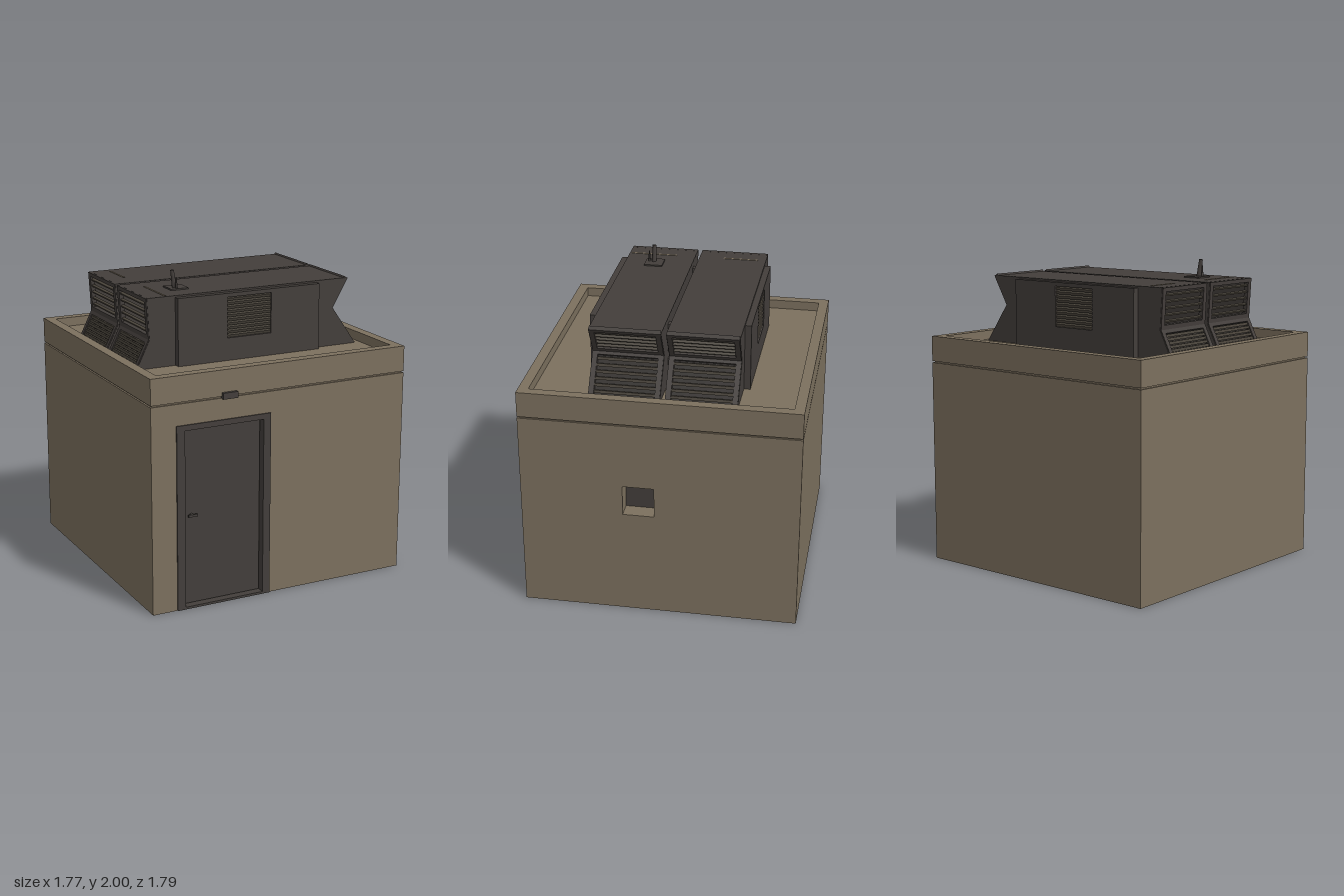
import * as THREE from 'three';

const material = (name, color) => Object.assign(new THREE.MeshStandardMaterial({ color }), { name });
const plaster = material('plaster', 0x7c705e);
const metal = material('dark metal', 0x433e3b);
const louvre = material('louvre metal', 0x4b453c);
const shadow = material('dark recess', 0x2e2a27);

function add(parent, name, geometry, mat) {
  const mesh = new THREE.Mesh(geometry, mat);
  mesh.name = name;
  parent.add(mesh);
  return mesh;
}

// Box given by its minimum and maximum along each axis
function box(parent, name, mat, [x0, x1], [y0, y1], [z0, z1]) {
  const mesh = add(parent, name, new THREE.BoxGeometry(x1 - x0, y1 - y0, z1 - z0), mat);
  mesh.position.set((x0 + x1) / 2, (y0 + y1) / 2, (z0 + z1) / 2);
  return mesh;
}

const rectPoints = (x0, x1, y0, y1) => [[x0, y0], [x1, y0], [x1, y1], [x0, y1]].map(p => new THREE.Vector2(...p));

// Rectangular slab with a rectangular opening
function holedSlab(outer, inner, depth) {
  const shape = new THREE.Shape(rectPoints(...outer));
  shape.holes.push(new THREE.Path(rectPoints(...inner).reverse()));
  return new THREE.ExtrudeGeometry(shape, { depth, bevelEnabled: false });
}

function buildHouse() {
  const house = new THREE.Group();
  house.name = 'building';
  const W = 0.885, top = 1.325;

  // Walls, with a door opening in front and a small window on one side
  const door = holedSlab([-W, W, 0, top], [-0.72, -0.08, 0.002, 1.19], 0.12);
  add(house, 'frontWall', door, plaster).position.z = W - 0.12;
  const side = holedSlab([-W + 0.12, W - 0.12, 0, top], [-0.23, -0.03, 0.7, 0.9], 0.12);
  side.rotateY(Math.PI / 2);
  add(house, 'windowWall', side, plaster).position.x = W - 0.12;
  box(house, 'blankWall', plaster, [-W, -W + 0.12], [0, top], [-W + 0.12, W - 0.12]);
  box(house, 'backWall', plaster, [-W, W], [0, top], [-W, -W + 0.12]);
  box(house, 'floor', plaster, [-W + 0.12, W - 0.12], [0, 0.03], [-W + 0.12, W - 0.12]);

  // Recessed joint, parapet and sunken roof
  const J = W - 0.012;
  box(house, 'roofSlab', plaster, [-J, J], [1.3, 1.34], [-J, J]);
  const R = W - 0.065;
  const rim = holedSlab([-W, W, -W, W], [-R, R, -R, R], 0.165);
  rim.rotateX(-Math.PI / 2);
  add(house, 'parapet', rim, plaster).position.y = 1.335;
  box(house, 'roof', plaster, [-R, R], [1.34, 1.44], [-R, R]);

  // Window pane at the back of its recess
  box(house, 'windowPane', metal, [W - 0.13, W - 0.11], [0.69, 0.91], [0.02, 0.24]);

  // Door in its frame
  const frame = holedSlab([-0.72, -0.08, 0, 1.19], [-0.665, -0.13, 0.015, 1.155], 0.08);
  add(house, 'doorFrame', frame, metal).position.z = W - 0.072;
  box(house, 'doorGap', shadow, [-0.69, -0.1], [0.005, 1.17], [W - 0.07, W - 0.045]);
  box(house, 'door', metal, [-0.657, -0.138], [0.022, 1.147], [W - 0.06, W - 0.038]);
  box(house, 'handleStem', metal, [-0.615, -0.6], [0.593, 0.608], [W - 0.04, W - 0.012]);
  box(house, 'doorHandle', metal, [-0.635, -0.575], [0.593, 0.608], [W - 0.02, W - 0.008]);

  // Lamp over the door
  box(house, 'doorLamp', metal, [-0.415, -0.315], [1.32, 1.36], [W - 0.01, W + 0.022]);
  return house;
}

// Framed louvre panel leaning along the end edge a-b; s is the end it faces
function endPanel(unit, a, b, s, slats, slatHeight, backed) {
  const panel = new THREE.Group();
  panel.name = 'endLouvre';
  const up = new THREE.Vector3(b[0] - a[0], b[1] - a[1], 0);
  const h = up.length();
  up.normalize();
  const out = new THREE.Vector3(up.y * s, -up.x * s, 0);
  const across = new THREE.Vector3().crossVectors(up, out);
  panel.quaternion.setFromRotationMatrix(new THREE.Matrix4().makeBasis(across, up, out));
  panel.position.set(a[0], a[1], 0);
  const frame = holedSlab([-0.222, 0.222, 0, h], [-0.19, 0.19, 0.03, h - 0.025], 0.03);
  add(panel, 'louvreFrame', frame, metal).position.z = -0.024;
  for (let i = 0; i < slats; i++) {
    const y = 0.03 + (h - 0.055) * (i + 0.5) / slats;
    const slat = box(panel, 'slat', louvre, [-0.192, 0.192], [y - slatHeight / 2, y + slatHeight / 2], [-0.018, 0]);
    slat.rotation.x = 0.3;
  }
  if (backed) box(panel, 'louvreBacking', shadow, [-0.2, 0.2], [0.01, h - 0.01], [-0.036, -0.028]);
  unit.add(panel);
}

// Hollow rooftop unit; s is the side its service cover faces along z
function buildUnit(name, centre, s) {
  const unit = new THREE.Group();
  unit.name = name;
  unit.position.z = centre;
  const left = [[-0.785, 1.44], [-0.695, 1.62], [-0.71, 1.88]];
  const right = [[0.775, 1.44], [0.6, 1.69], [0.71, 1.88]];

  // Side cheeks and top
  const outline = [...left, ...[...right].reverse()].reverse().map(p => new THREE.Vector2(...p));
  const cheek = new THREE.ExtrudeGeometry(new THREE.Shape(outline), { depth: 0.025, bevelEnabled: false });
  for (const z of [-0.225, 0.2]) add(unit, 'sideCheek', cheek, metal).position.z = z;
  box(unit, 'topPlate', metal, [-0.705, 0.705], [1.862, 1.881], [-0.224, 0.224]);
  box(unit, 'topSlit', plaster, [-0.586, -0.574], [1.88, 1.884], s > 0 ? [-0.1, 0.21] : [-0.17, 0.06]);

  // Louvred ends
  for (const [edge, e] of [[left, -1], [right, 1]]) {
    endPanel(unit, edge[0], edge[1], e, 6, 0.018, true);
    endPanel(unit, edge[1], edge[2], e, 5, 0.011, false);
  }

  // Service cover with a central grille
  const span = (p, q) => (s > 0 ? [p, q] : [-q, -p]);
  for (const [x0, x1] of [[-0.52, -0.18], [0.13, 0.48]])
    box(unit, 'serviceCover', metal, [x0, x1], [1.44, 1.87], span(0.22, 0.265));
  box(unit, 'coverTop', metal, [-0.18, 0.13], [1.845, 1.87], span(0.22, 0.265));
  box(unit, 'coverBottom', metal, [-0.18, 0.13], [1.44, 1.585], span(0.22, 0.265));
  box(unit, 'grilleBacking', shadow, [-0.18, 0.13], [1.585, 1.845], span(0.224, 0.232));
  for (let i = 0; i < 10; i++) {
    const y = 1.598 + i * 0.026;
    const slat = box(unit, 'grilleSlat', louvre, [-0.18, 0.13], [y - 0.009, y + 0.009], span(0.235, 0.258));
    slat.rotation.x = 0.35 * s;
  }
  return unit;
}

export function createModel() {
  const model = new THREE.Group();
  model.name = 'utilityBuilding';
  model.add(buildHouse());
  model.add(buildUnit('frontRoofUnit', 0.235, 1), buildUnit('backRoofUnit', -0.245, -1));

  // Links between the two units
  for (const x of [-0.49, 0.45])
    for (const y of [[1.44, 1.61], [1.66, 1.84]])
      box(model, 'unitLink', metal, [x - 0.025, x + 0.025], y, [-0.025, 0.015]);

  // Aerial on a square foot
  box(model, 'aerialFoot', metal, [-0.48, -0.36], [1.878, 1.89], [0.2, 0.32]);
  const mast = add(model, 'aerialMast', new THREE.CylinderGeometry(0.012, 0.017, 0.125, 8), metal);
  mast.position.set(-0.44, 1.937, 0.265);
  mast.rotation.z = 0.14;
  const spike = add(model, 'aerialSpike', new THREE.CylinderGeometry(0.003, 0.01, 0.08, 6), metal);
  spike.position.set(-0.435, 1.92, 0.297);
  return model;
}
